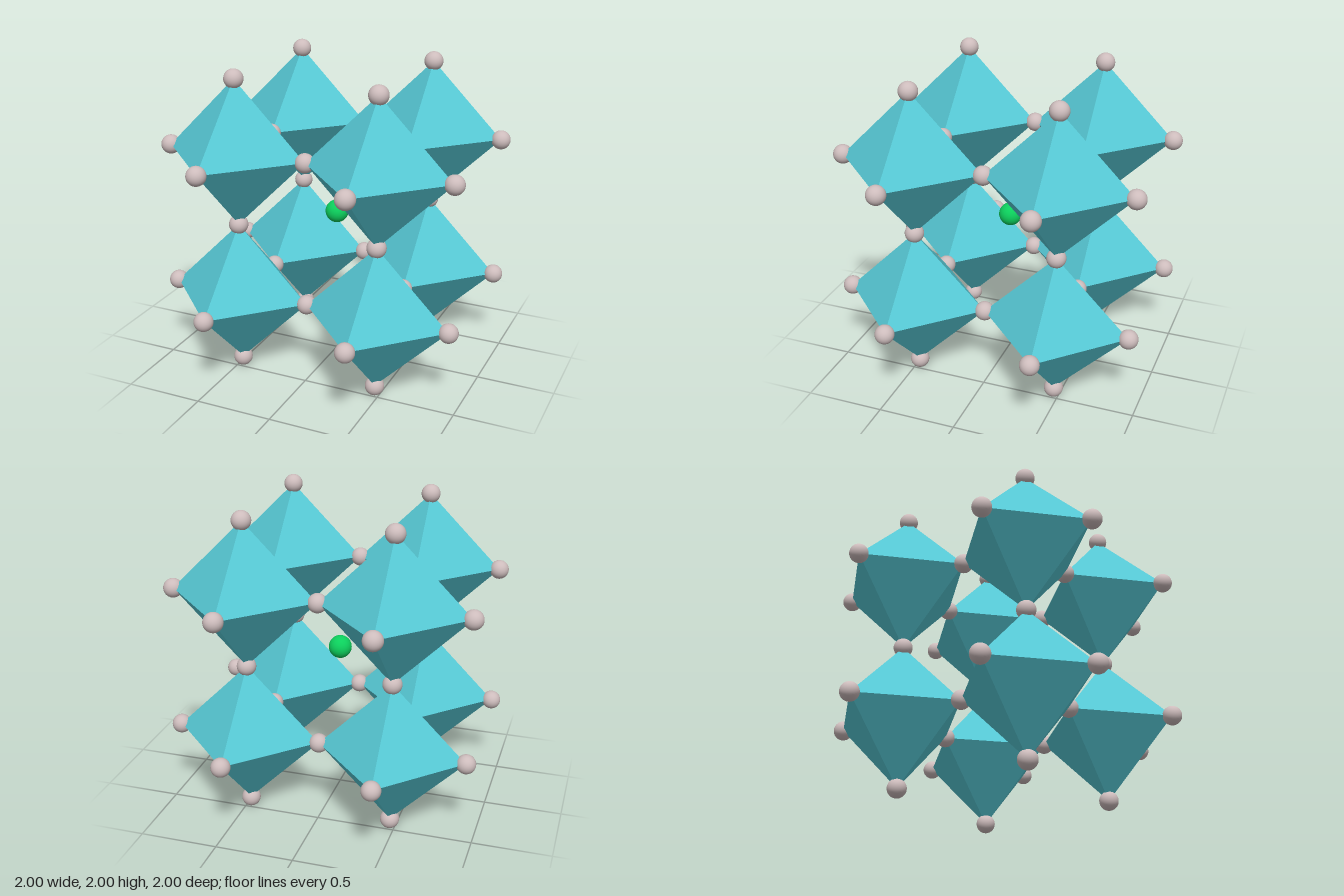
import * as THREE from 'three';

export function createModel() {
  const model = new THREE.Group();
  model.name = 'crystalLattice';

  const teal = new THREE.MeshStandardMaterial({ color: 0x56c8d4 });
  teal.name = 'teal';
  const paleGrey = new THREE.MeshStandardMaterial({ color: 0xcdbcbc });
  paleGrey.name = 'paleGrey';
  const green = new THREE.MeshStandardMaterial({ color: 0x0ccf5c });
  green.name = 'green';

  const h = 0.469; // octahedron radius, also half the cell spacing
  const octahedron = new THREE.OctahedronGeometry(h, 0);
  const cornerBall = new THREE.SphereGeometry(0.061, 32, 20);
  const centreBall = new THREE.SphereGeometry(0.075, 32, 20);

  const add = (geometry, material, name, [x, y, z]) => {
    const mesh = new THREE.Mesh(geometry, material);
    mesh.name = name;
    mesh.position.set(x, y + 1, z);
    model.add(mesh);
  };

  // Eight octahedra at the corners of a cube, touching tip to tip
  for (const x of [-h, h])
    for (const y of [-h, h])
      for (const z of [-h, h]) add(octahedron, teal, 'octahedron', [x, y, z]);

  // Balls on every octahedron tip; neighbours share the middle ones
  for (let axis = 0; axis < 3; axis++)
    for (const along of [-2 * h, 0, 2 * h])
      for (const a of [-h, h])
        for (const b of [-h, h]) {
          const p = [0, 0, 0];
          p[axis] = along;
          p[(axis + 1) % 3] = a;
          p[(axis + 2) % 3] = b;
          add(cornerBall, paleGrey, 'cornerBall', p);
        }

  // Single ball in the central cavity
  add(centreBall, green, 'centreBall', [0, 0, 0]);

  return model;
}
